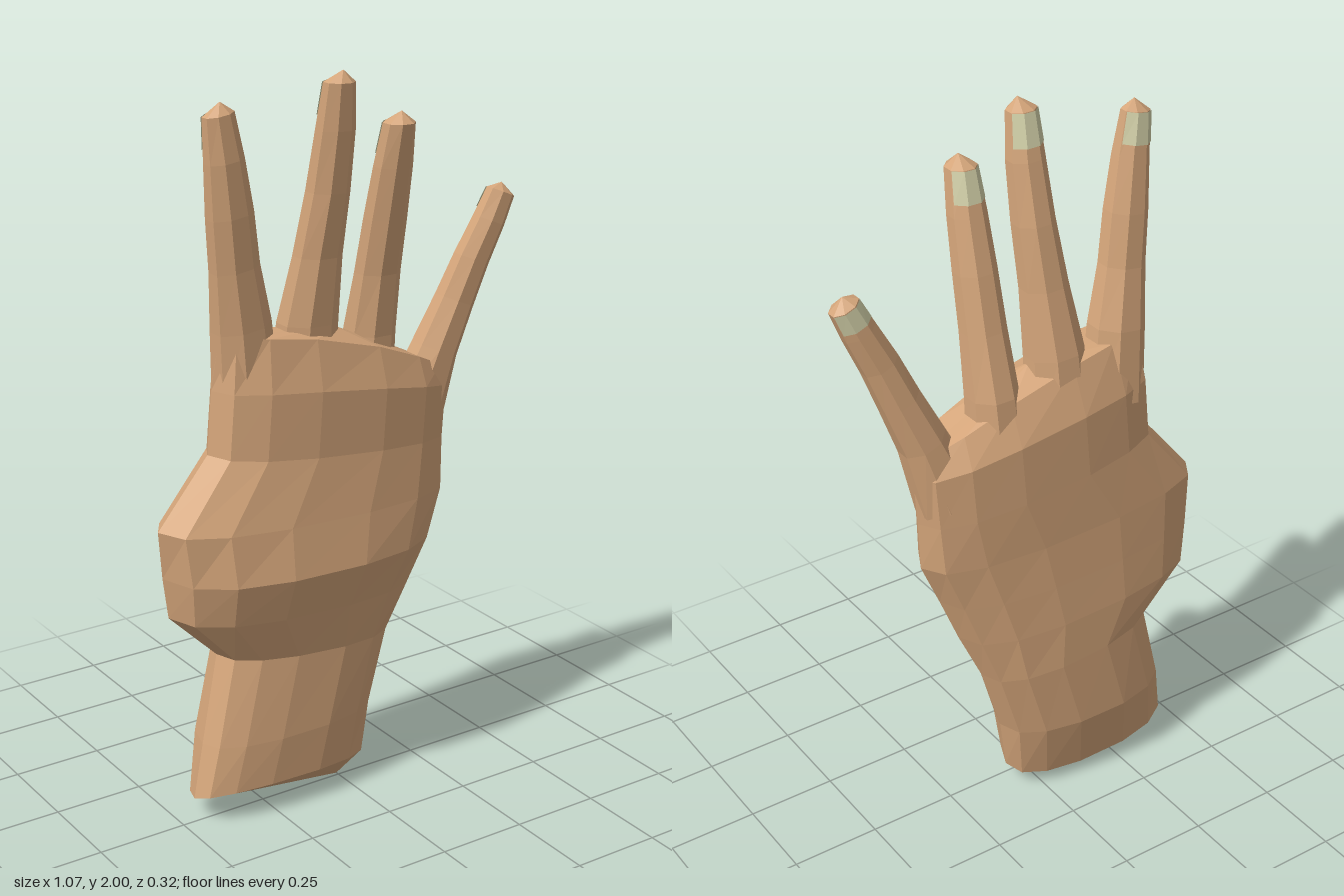
import * as THREE from 'three';

const skin = new THREE.MeshStandardMaterial({ color: 0xd4a57a, flatShading: true });
const nailMat = new THREE.MeshStandardMaterial({ color: 0xd2d0a8, flatShading: true, side: THREE.DoubleSide });

const spow = (v, e) => Math.sign(v) * Math.pow(Math.abs(v), e);

// Skins a stack of closed rings, closing each end with a fan to an apex.
function loft(rings, bottom, top) {
  const pos = [];
  const tri = (...p) => p.forEach((q) => pos.push(q.x, q.y, q.z));
  const n = rings[0].length;
  for (let j = 0; j < n; j++) {
    const k = (j + 1) % n;
    for (let i = 0; i < rings.length - 1; i++) {
      const a = rings[i], b = rings[i + 1];
      tri(a[j], b[j], a[k]);
      tri(b[j], b[k], a[k]);
    }
    const last = rings[rings.length - 1];
    tri(bottom, rings[0][j], rings[0][k]);
    tri(top, last[k], last[j]);
  }
  return toGeometry(pos);
}

function toGeometry(pos) {
  const g = new THREE.BufferGeometry();
  g.setAttribute('position', new THREE.Float32BufferAttribute(pos, 3));
  g.computeVertexNormals();
  return g;
}

// Palm ring: flattened oval whose height runs from yL to yR, arched by bulge, front raised by lift.
function palmRing([yL, yR, xL, xR, zF, zB, zL, zR, bulge = 0, lift = 0]) {
  const pts = [], n = 14;
  for (let j = 0; j < n; j++) {
    const a = (j / n) * Math.PI * 2;
    const u = spow(Math.cos(a), 0.85), v = spow(Math.sin(a), 0.8);
    const t = (u + 1) / 2;
    const zm = zL + (zR - zL) * t;
    pts.push(new THREE.Vector3(
      xL + (xR - xL) * t,
      yL + (yR - yL) * t + bulge * (1 - u * u) + lift * v,
      zm + (v > 0 ? (zF - zm) * v : (zm - zB) * v)));
  }
  return pts;
}

// Finger ring: octagon square to the finger's lean.
function fingerRing([x, y, z, rx, rz], lean) {
  const pts = [];
  for (let j = 0; j < 8; j++) {
    const a = ((j + 0.5) / 8) * Math.PI * 2;
    const u = rx * Math.cos(a) * 1.06;
    pts.push(new THREE.Vector3(x + u * Math.cos(lean), y - u * Math.sin(lean), z + rz * Math.sin(a) * 1.06));
  }
  return pts;
}

// Each finger: sections of [x, y, z, half width, half depth], then its tip.
const fingers = {
  indexFinger: {
    tip: [-0.375, 1.945, 0.05],
    sections: [
      [-0.27, 1.16, -0.025, 0.085, 0.075], [-0.29, 1.36, -0.01, 0.078, 0.065],
      [-0.318, 1.52, 0.01, 0.064, 0.052], [-0.338, 1.66, 0.025, 0.06, 0.05],
      [-0.36, 1.8, 0.04, 0.05, 0.042], [-0.378, 1.915, 0.047, 0.04, 0.03]],
  },
  middleFinger: {
    tip: [-0.06, 2.0, 0.11],
    sections: [
      [-0.09, 1.14, -0.035, 0.085, 0.075], [-0.09, 1.34, -0.01, 0.08, 0.066],
      [-0.078, 1.52, 0.02, 0.064, 0.053], [-0.066, 1.69, 0.05, 0.056, 0.05],
      [-0.063, 1.85, 0.08, 0.05, 0.043], [-0.066, 1.97, 0.102, 0.04, 0.034]],
  },
  ringFinger: {
    tip: [0.105, 1.885, 0.125],
    sections: [
      [0.1, 1.08, -0.035, 0.078, 0.075], [0.107, 1.28, -0.015, 0.068, 0.066],
      [0.108, 1.45, 0.02, 0.06, 0.053], [0.107, 1.6, 0.055, 0.056, 0.05],
      [0.105, 1.74, 0.09, 0.05, 0.045], [0.103, 1.855, 0.118, 0.04, 0.04]],
  },
  littleFinger: {
    tip: [0.495, 1.64, 0.04],
    sections: [
      [0.245, 1.02, -0.015, 0.09, 0.07], [0.31, 1.2, 0.0, 0.064, 0.058],
      [0.365, 1.33, 0.013, 0.055, 0.048], [0.41, 1.44, 0.025, 0.05, 0.042],
      [0.458, 1.54, 0.035, 0.045, 0.038], [0.492, 1.615, 0.04, 0.04, 0.032]],
  },
};

function makeFinger(name, { sections, tip }) {
  const g = new THREE.Group();
  g.name = name;
  const first = sections[0], last = sections[sections.length - 1];
  const lean = Math.atan2(last[0] - first[0], last[1] - first[1]);
  const rings = sections.map((s) => fingerRing(s, lean));
  const digit = new THREE.Mesh(loft(rings, new THREE.Vector3(...first.slice(0, 3)), new THREE.Vector3(...tip)), skin);
  digit.name = 'digit';

  // Nail: a strip lying just over the back facets of the last segment.
  const [lo, hi] = rings.slice(-2);
  const pos = [];
  const lift = (p) => [p.x, p.y, p.z - 0.004];
  for (let j = 4; j < 7; j++) {
    const quad = [j, j + 1].map((k) => [
      lift(lo[k].clone().lerp(hi[k], 0.3)), lift(hi[k])]);
    const [[a, b], [c, d]] = quad;
    pos.push(...a, ...b, ...c, ...b, ...d, ...c);
  }
  const nail = new THREE.Mesh(toGeometry(pos), nailMat);
  nail.name = 'nail';
  g.add(digit, nail);
  return g;
}

export function createModel() {
  const hand = new THREE.Group();
  hand.name = 'hand';

  // Wrist, heel, thumb mound and knuckle line: yL, yR, xL, xR, zF, zB, zL, zR, bulge, lift
  const sections = [
    [0.07, 0.06, -0.465, 0.08, 0.085, -0.125, 0.0, -0.03, 0, 0.025],
    [0.22, 0.22, -0.43, 0.105, 0.09, -0.165, -0.01, -0.04],
    [0.46, 0.42, -0.37, 0.165, 0.08, -0.16, -0.03, -0.04],
    [0.59, 0.56, -0.5, 0.225, 0.115, -0.155, -0.05, -0.02],
    [0.71, 0.69, -0.52, 0.275, 0.155, -0.145, -0.04, -0.01],
    [0.85, 0.82, -0.54, 0.33, 0.13, -0.135, -0.02, -0.01],
    [1.03, 0.96, -0.39, 0.335, 0.105, -0.13, -0.02, -0.01],
    [1.2, 1.1, -0.375, 0.345, 0.105, -0.125, -0.02, -0.01, 0.02],
    [1.34, 1.15, -0.36, 0.335, 0.07, -0.075, 0.0, 0.0, 0.045],
  ];
  const palm = new THREE.Mesh(
    loft(sections.map(palmRing), new THREE.Vector3(0, 0, -0.01), new THREE.Vector3(-0.02, 1.32, 0)), skin);
  palm.name = 'palmAndWrist';
  hand.add(palm);

  for (const [name, spec] of Object.entries(fingers)) hand.add(makeFinger(name, spec));
  return hand;
}
